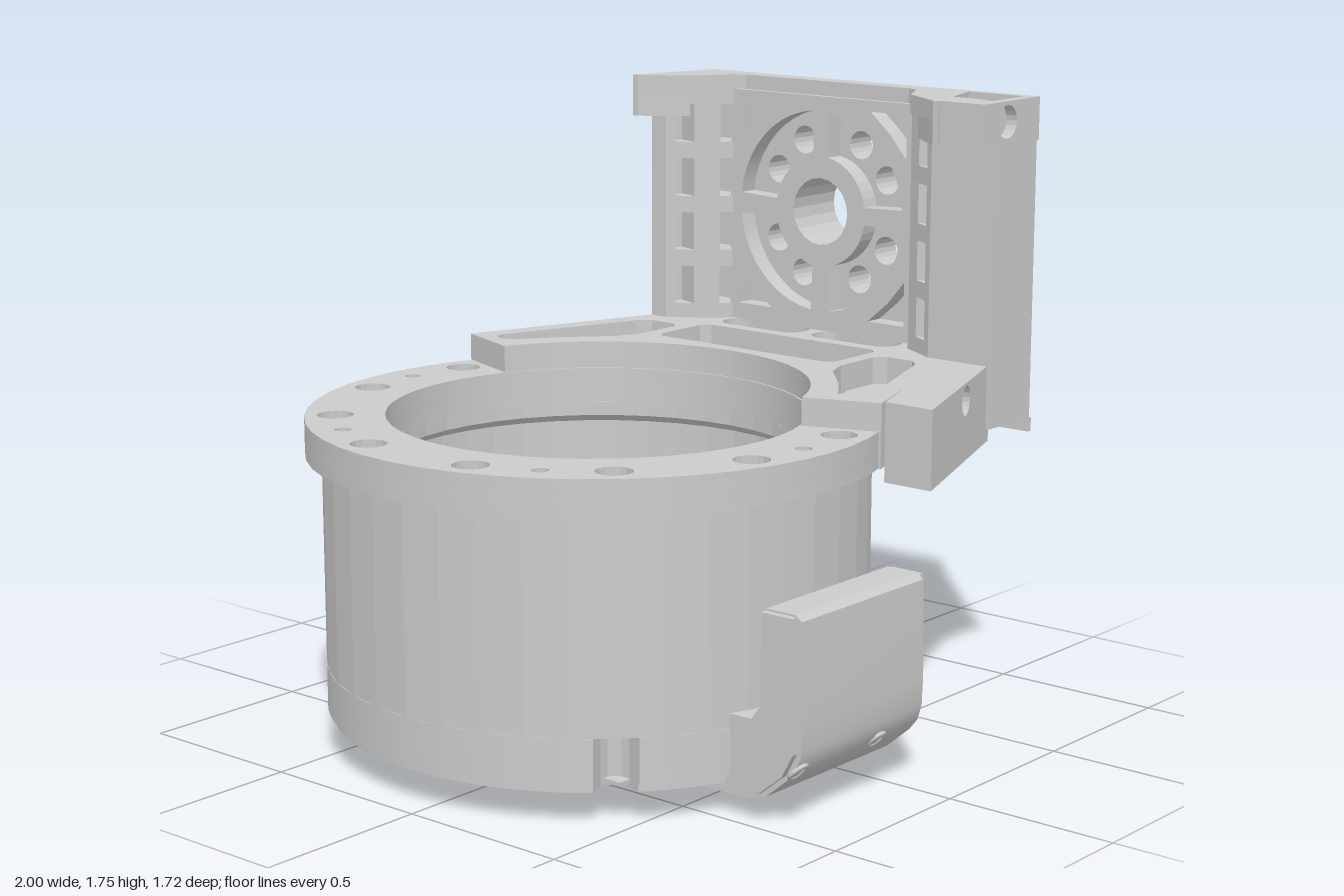
import * as THREE from 'three';
import { toCreasedNormals } from 'three/addons/utils/BufferGeometryUtils.js';

const CX = -0.2, CZ = -0.06;          // axis of the round housing
const HUB_Y = 1.378, TOP = 1.763;     // joint axis height and top of the upright
const RAD = Math.PI / 180;
const mat = new THREE.MeshStandardMaterial({ color: 0xcccccc, side: THREE.DoubleSide });

// Point-list helpers
const arc = (cx, cy, r, a0, a1, n) => Array.from({ length: n + 1 }, (_, i) => {
  const a = (a0 + (a1 - a0) * i / n) * RAD;
  return [cx + r * Math.cos(a), cy + r * Math.sin(a)];
});
const circle = (cx, cy, r, n = 20) => arc(cx, cy, r, 0, 360, n).slice(0, n);
const roundRect = (x0, y0, x1, y1, r) => [
  ...arc(x1 - r, y1 - r, r, 0, 90, 4), ...arc(x0 + r, y1 - r, r, 90, 180, 4),
  ...arc(x0 + r, y0 + r, r, 180, 270, 4), ...arc(x1 - r, y0 + r, r, 270, 360, 4)];
const mirrorZ = pts => pts.map(([x, z]) => [x, 2 * CZ - z]);

function extrude(pts, holes, depth, flip) {
  const v = ([a, b]) => new THREE.Vector2(flip === 'x' ? -a : a, flip === 'y' ? -b : b);
  const shape = new THREE.Shape(pts.map(v));
  shape.holes = holes.map(h => new THREE.Path(h.map(v)));
  return new THREE.ExtrudeGeometry(shape, { depth, bevelEnabled: false });
}
// Outline in (x, z), raised from y0 to y1
const plan = (pts, y0, y1, holes = []) =>
  extrude(pts, holes, y1 - y0, 'y').rotateX(-Math.PI / 2).translate(0, y0, 0);
// Outline in (z, y), running from x0 to x1
const side = (pts, x0, x1, holes = []) =>
  extrude(pts, holes, x1 - x0, 'x').rotateY(Math.PI / 2).translate(x0, 0, 0);
// Outline in (x, y), running from z0 to z1
const front = (pts, z0, z1, holes = []) => extrude(pts, holes, z1 - z0).translate(0, 0, z0);

export function createModel() {
  const root = new THREE.Group();
  const group = name => {
    const g = new THREE.Group();
    g.name = name;
    root.add(g);
    return g;
  };
  const add = (parent, name, geo, crease = 0.15) => {
    const m = new THREE.Mesh(toCreasedNormals(geo, crease), mat);
    m.name = name;
    parent.add(m);
  };

  // Round housing with inner shelf
  const housing = group('housing');
  const profile = [[0.58, 0.84], [0.745, 0.84], [0.755, 0.83], [0.755, 0.25], [0.68, 0.25], [0.68, 0.4],
    [0.39, 0.4], [0.39, 0.47], [0.6, 0.47], [0.6, 0.78], [0.58, 0.8], [0.58, 0.84]];
  add(housing, 'housingWall', new THREE.LatheGeometry(profile.map(p => new THREE.Vector2(...p)), 40).translate(CX, 0, CZ));
  const ledgeHoles = [0, 60, 120, 180, 240, 300].map(a => arc(CX, CZ, 0.365, a, a, 1)[0]).map(([x, z]) => circle(x, z, 0.017, 10));
  add(housing, 'innerLedge', plan(circle(CX, CZ, 0.395, 40), 0.38, 0.44, [circle(CX, CZ, 0.32, 40), ...ledgeHoles]));

  // Mounting flange with counterbored bolt holes
  const flange = group('flange');
  const ringHoles = (r, angles) => angles.map(a => arc(CX, CZ, 0.715, a, a, 1)[0]).map(([x, z]) => circle(x, z, r, 16));
  const bolts = Array.from({ length: 12 }, (_, i) => 15 + 30 * i);
  const pins = [30, 90, 150, 210, 270, 330];
  for (const [y0, y1, r] of [[0.84, 0.9, 0.025], [0.9, 0.942, 0.05]]) {
    add(flange, 'flangeRing', plan(circle(CX, CZ, 0.8, 48), y0, y1,
      [circle(CX, CZ, 0.58, 48), ...ringHoles(r, bolts), ...ringHoles(0.023, pins)]));
  }

  // Base rim with four screw grooves
  const base = group('base');
  const rim = r => Array.from({ length: 240 }, (_, i) => {
    const a = i * 1.5, d = ((a % 90) - 45) / 4;
    const rr = Math.abs(d) < 1 ? r - 0.075 * Math.sqrt(1 - d * d) : r;
    return [CX + rr * Math.cos(a * RAD), CZ + rr * Math.sin(a * RAD)];
  });
  add(base, 'baseRim', plan(rim(0.755), 0.125, 0.25, [circle(CX, CZ, 0.63, 48)]));
  add(base, 'baseRimEdge', plan(rim(0.74), 0.1, 0.125, [circle(CX, CZ, 0.63, 48)]));
  add(base, 'baseFloor', new THREE.CylinderGeometry(0.64, 0.64, 0.03, 48).translate(CX, 0.125, CZ));
  // Domed underside: solid middle band and vent bars on both sides
  const domeBar = (d, w, name) => {
    const half = Math.sqrt(0.72 ** 2 - d * d), n = 16, pts = [[half, 0.125], [-half, 0.125]];
    for (let i = 0; i <= n; i++) {
      const z = -half + 2 * half * i / n;
      pts.push([z, 0.01 + 0.1 * (1.3 * d * d + z * z) / 0.55]);
    }
    const x = CX + d;
    add(base, name, side(pts.map(([z, y]) => [z + CZ, Math.min(y, 0.125)]), x - w / 2, x + w / 2));
  };
  domeBar(0, 0.52, 'domeBand');
  for (const s of [-1, 1]) for (let i = 0; i < 5; i++) domeBar(s * (0.33 + 0.08 * i), 0.045, 'ventBar');

  // Cable cover at the front of the housing
  const cover = group('cableCover');
  add(cover, 'coverBody', side([[0.835, 0.585], [0.855, 0.57], [0.861, 0.3], [0.857, 0.22], [0.845, 0.18], [0.82, 0.148], [0.745, 0.083],
    [0.69, 0.065], [0.5, 0.062], [0.5, 0.11], [0.62, 0.11], [0.62, 0.29], [0.71, 0.29], [0.74, 0.33], [0.74, 0.585]], -0.46, 0.065), 0.5);
  for (const [x0, x1] of [[-0.48, -0.46], [0.065, 0.085]])
    add(cover, 'coverSide', side([[0.84, 0.58], [0.845, 0.22], [0.81, 0.155], [0.73, 0.09], [0.6, 0.09], [0.6, 0.29], [0.71, 0.29],
      [0.74, 0.33], [0.74, 0.58]], x0, x1), 0.5);
  for (const x of [-0.44, -0.105])
    add(cover, 'coverScrew', new THREE.TorusGeometry(0.027, 0.006, 8, 20).rotateX(0.75).translate(x, 0.165, 0.832));

  // Bracket foot: floor beyond the flange and pocketed upper layer in mirrored halves
  const foot = group('bracketFoot');
  const outer = [[0.085, -0.815], [0.6, -0.635], [0.865, -0.54], [0.885, -0.515]];
  add(foot, 'footFloor', plan([...outer, ...mirrorZ(outer).reverse(), ...arc(CX, CZ, 0.79, 69, -69, 30)], 0.84, 0.942));
  const halfTop = [...outer, [0.885, CZ], [0.66, CZ], [0.66, -0.36], [0.635, -0.385], [0.455, -0.385], [0.43, -0.36],
    [0.43, CZ], ...arc(CX, CZ, 0.585, 0, -69, 16)];
  const pocket = [[0.09, -0.7], [0.11, -0.735], [0.14, -0.735], [0.57, -0.58], [0.6, -0.545], [0.6, -0.46],
    [0.57, -0.43], [0.42, -0.43], [0.34, -0.46], [0.22, -0.57], [0.1, -0.66]];
  const footSlot = roundRect(0.705, -0.38, 0.815, -0.08, 0.05);

  // Upright: skin, ribbed inner panel, pocketed slanted walls and top cap
  const upright = group('upright');
  const boltRing = [27.5, 62.5, 117.5, 152.5, 207.5, 242.5, 297.5, 332.5].map(a => arc(CZ, HUB_Y, 0.226, a, a, 1)[0]);
  const jointHoles = [circle(CZ, HUB_Y, 0.1, 20), ...boltRing.map(([z, y]) => circle(z, y, 0.042, 18))];
  add(upright, 'uprightSkin', side([[-0.515, 0.84], [0.395, 0.84], [0.395, TOP], [-0.515, TOP]], 0.86, 0.885, jointHoles));
  const sectors = Array.from({ length: 4 }, (_, i) => {
    const a = 90 * i;
    return [...arc(CZ, HUB_Y, 0.165, a + 9, a + 81, 8), ...arc(CZ, HUB_Y, 0.3, a + 84, a + 6, 10)];
  });
  const corners = [[1, 1], [1, -1], [-1, 1], [-1, -1]].map(([s, t]) =>
    [[0.31, 0.31], [0.31, 0.18], [0.25, 0.25], [0.18, 0.31]].map(([u, v]) => [CZ + s * u, HUB_Y + t * v]));
  add(upright, 'uprightRibs', side([[-0.4, 1.02], [0.28, 1.02], [0.28, 1.72], [-0.4, 1.72]], 0.8, 0.86,
    [circle(CZ, HUB_Y, 0.1, 20), ...sectors, ...corners]));
  const thinWall = [[0.67, -0.605], [0.885, -0.525], [0.885, -0.49], [0.67, -0.57]];
  const rib = [[0.67, -0.6], [0.88, -0.52], [0.88, -0.42], [0.82, -0.38], [0.74, -0.43], [0.67, -0.55]];
  const divider = [[0.715, -0.475], [0.74, -0.43], [0.765, -0.415], [0.775, -0.55], [0.745, -0.56]];
  const edgePost = [[0.67, -0.6], [0.67, -0.55], [0.685, -0.525], [0.69, -0.59]];
  const lug = [[0.6, -0.62], [0.7, -0.59], [0.7, -0.48], [0.6, -0.6]];
  for (const f of [p => p, mirrorZ]) {
    add(foot, 'footTop', plan(f(halfTop), 0.942, 1.02, [f(pocket), f(footSlot)]));
    add(upright, 'sideWall', plan(f(thinWall), 0.84, 1.72));
    add(upright, 'wallDivider', plan(f(divider), 1.02, 1.72));
    add(upright, 'wallEdge', plan(f(edgePost), 1.02, 1.72));
    for (let i = 0; i < 5; i++) add(upright, 'sideRib', plan(f(rib), 1.015 + 0.165 * i, 1.065 + 0.165 * i));
    add(upright, 'cornerLug', plan(f(lug), 1.64, 1.72));
  }
  const cap = [[0.885, -0.515], [0.865, -0.54], [0.6, -0.62], [0.6, -0.6], [0.69, -0.46], [0.8, -0.4], [0.82, -0.36]];
  add(upright, 'topCap', plan([...cap, ...mirrorZ(cap).reverse()], 1.71, TOP));

  // Joint disc with flared neck and hub ring
  const joint = group('jointDisc');
  const neck = [[0.29, 0.845], [0.275, 0.88], [0.208, 0.98], [0.2, 1.03]];
  const neckSlot = [[0.17, 0.9], [0.175, 0.93], [0.15, 0.995], [0.12, 1.01]];
  const bothSides = (pts, between) => [...pts.map(([u, y]) => [CZ + u, y]), ...between, ...pts.map(([u, y]) => [CZ - u, y]).reverse()];
  add(joint, 'disc', side(bothSides(neck, arc(CZ, HUB_Y, 0.375, -55, 235, 26)), 0.885, 0.965,
    [...jointHoles, bothSides(neckSlot, [])]));
  add(joint, 'hubRing', side(circle(CZ, HUB_Y, 0.155, 24), 0.965, 1, [circle(CZ, HUB_Y, 0.1, 20)]));

  // Separate side cover: channel column, hook and slanted wing
  const sideCover = group('sideCover');
  add(sideCover, 'column', plan([[0.67, 0.46], [0.67, 0.645], [0.875, 0.645], [0.885, 0.635], [0.885, 0.4], [0.86, 0.41],
    [0.86, 0.61], [0.78, 0.61], [0.78, 0.58], [0.72, 0.55], [0.72, 0.45]], 0.84, 1.64));
  add(sideCover, 'columnSkin', plan([[0.86, 0.41], [0.885, 0.4], [0.885, 0.645], [0.86, 0.645]], 1.64, TOP));
  add(sideCover, 'columnFoot', plan([[0.87, 0.405], [0.885, 0.4], [0.885, 0.645], [0.87, 0.645]], 0.8, 0.84));
  add(sideCover, 'hookFace', front([[0.61, 1.64], [0.86, 1.64], [0.86, TOP], [0.61, TOP]], 0.61, 0.645, [circle(0.725, 1.705, 0.047)]));
  add(sideCover, 'hook', plan([[0.61, 0.49], [0.72, 0.455], [0.72, 0.55], [0.7, 0.61], [0.61, 0.61]], 1.64, TOP));
  const wing = front([[0.105, 0.8], [0.7, 0.8], [0.7, 1.02], [0.105, 1.02]], 0.695, 0.847, [circle(0.45, 0.97, 0.042)]);
  const p = wing.attributes.position;
  for (let i = 0; i < p.count; i++) p.setZ(i, p.getZ(i) - 0.375 * (p.getX(i) - 0.1));
  add(sideCover, 'wing', wing);

  return root;
}
